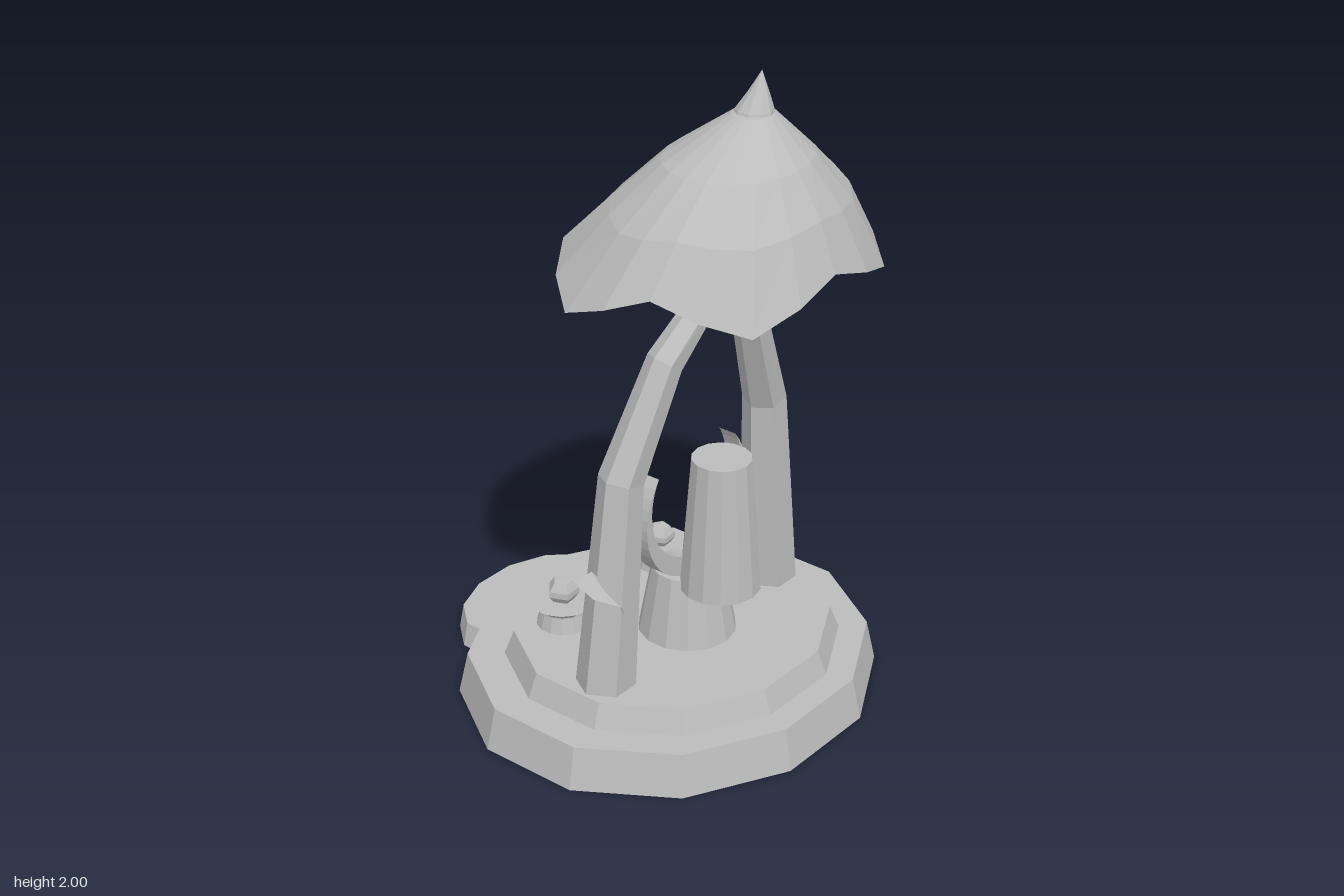
import * as THREE from 'three';

const stone = new THREE.MeshStandardMaterial({ color: 0xbcbcbc, flatShading: true, side: THREE.DoubleSide });
stone.name = 'grey stone';

const V = (x, y, z) => new THREE.Vector3(x, y, z);

function add(parent, name, geometry) {
  const mesh = new THREE.Mesh(geometry, stone);
  mesh.name = name;
  parent.add(mesh);
  return mesh;
}

function fromTriangles(points) {
  const g = new THREE.BufferGeometry().setFromPoints(points);
  g.computeVertexNormals();
  return g;
}

// Skin closed rings from bottom to top, with a fan to a point at each end
function loft(rings, bottom, top) {
  const n = rings[0].length, tris = [], last = rings[rings.length - 1];
  for (let j = 0; j < n; j++) {
    const k = (j + 1) % n;
    for (let i = 0; i < rings.length - 1; i++) {
      tris.push(rings[i][j], rings[i][k], rings[i + 1][k]);
      tris.push(rings[i][j], rings[i + 1][k], rings[i + 1][j]);
    }
    tris.push(bottom, rings[0][k], rings[0][j]);
    tris.push(top, last[j], last[k]);
  }
  return fromTriangles(tris);
}

const lathe = (pts, sides) => new THREE.LatheGeometry(pts.map(p => new THREE.Vector2(...p)), sides);

// Tapered twelve-sided oval slab, hollow underneath
function slab(rTop, rBottom, zScale, y0, y1, z) {
  return lathe([[rBottom, y0], [rTop, y1], [0, y1]], 12)
    .rotateY(Math.PI / 12).scale(1, 1, zScale).translate(0, 0, z);
}

// Six-sided leg that tapers and bends in to the middle
function leg(side) {
  const path = [[0.394, 0.18, 0.148], [0.335, 0.86, 0.163], [0.195, 1.19, 0.207], [0, 1.4, 0.25]]
    .map(([x, y, z]) => V(side * x, y, z));
  const radii = [0.09, 0.067, 0.054, 0.04];
  const rings = path.map((p, i) => {
    const t = i === 3 ? V(-side, 0, 0)
      : i === 0 ? V(0, 1, 0)
      : path[i + 1].clone().sub(p).normalize().add(p.clone().sub(path[i - 1]).normalize()).normalize();
    const u = t.clone().cross(V(0, 0, 1)).normalize();
    const w = u.clone().cross(t);
    return Array.from({ length: 6 }, (_, k) => {
      const a = (k + 0.5) * Math.PI / 3;
      return p.clone().addScaledVector(u, radii[i] * Math.sin(a)).addScaledVector(w, radii[i] * Math.cos(a));
    });
  });
  return loft(rings, path[0], path[3]);
}

// Five-lobed canopy, leaning toward its tip
function canopy() {
  const levels = [ // y, centre x, centre z, radius x, radius z, lobe strength
    [1.465, 0.002, 0.235, 0.494, 0.422, 1],
    [1.64, 0.005, 0.277, 0.378, 0.308, 0.25],
    [1.77, 0.012, 0.297, 0.235, 0.2, 0],
    [1.885, 0.052, 0.315, 0.066, 0.06, 0],
  ];
  const n = 20;
  const rings = levels.map(([y, cx, cz, rx, rz, lobe]) => Array.from({ length: n }, (_, k) => {
    const a = k / n * Math.PI * 2;
    const wave = -Math.cos(5 * a) * lobe; // +1 on a drooping lobe, -1 in a notch
    const r = 1 + 0.045 * wave;
    return V(cx + rx * r * Math.sin(a), y - 0.048 * wave, cz + rz * r * Math.cos(a));
  }));
  return loft(rings, V(0, 1.435, 0.245), V(0.055, 1.9, 0.315));
}

// Pointed bud rising out of the canopy
function bud() {
  const rings = [[1.87, 0.052, 0.314, 0.062], [1.895, 0.056, 0.315, 0.054], [1.94, 0.068, 0.318, 0.03]]
    .map(([y, cx, cz, r]) => Array.from({ length: 10 }, (_, k) => {
      const a = k / 10 * Math.PI * 2;
      return V(cx + r * Math.sin(a), y, cz + r * Math.cos(a));
    }));
  return loft(rings, V(0.052, 1.87, 0.314), V(0.08, 2, 0.32));
}

// Crescent with both horns pointing up
function crescent() {
  const shape = new THREE.Shape();
  const outer = Math.atan2(0.15, 0.18), inner = Math.atan2(0.11, 0.18);
  shape.absarc(0, 0.65, 0.234, outer, Math.PI - outer, true);
  shape.absarc(0, 0.69, 0.211, Math.PI - inner, inner, false);
  return new THREE.ExtrudeGeometry(shape, { depth: 0.06, bevelEnabled: false, curveSegments: 16 })
    .translate(0, -0.003, 0.115);
}

// Folded leaf: a raised back half and a drooping front half along one ridge
function leaf() {
  const stem = V(-0.385, 0.472, 0.2);
  const ridge = [stem, V(-0.43, 0.55, 0.215), V(-0.48, 0.585, 0.22), V(-0.54, 0.588, 0.23)];
  const back = [stem, V(-0.39, 0.535, 0.16), V(-0.44, 0.598, 0.14), V(-0.52, 0.604, 0.145)];
  const front = [stem, V(-0.45, 0.51, 0.27), V(-0.487, 0.56, 0.288), ridge[3]];
  const tris = [];
  for (let i = 0; i < 3; i++) {
    tris.push(ridge[i], ridge[i + 1], back[i + 1], ridge[i], back[i + 1], back[i]);
    tris.push(ridge[i], front[i + 1], ridge[i + 1], ridge[i], front[i], front[i + 1]);
  }
  return fromTriangles(tris);
}

export function createModel() {
  const model = new THREE.Group();
  model.name = 'canopyShrine';

  // Stepped base
  add(model, 'lowerBase', slab(0.645, 0.675, 0.912, 0, 0.13, 0.07));
  add(model, 'upperBase', slab(0.507, 0.538, 0.915, 0.13, 0.205, 0.085));
  add(model, 'backStep', slab(0.279, 0.295, 0.67, 0, 0.075, -0.475));

  // Pedestal, forward column and crescent
  add(model, 'pedestal', new THREE.CylinderGeometry(0.11, 0.15, 0.22, 14).translate(0, 0.312, 0.14));
  add(model, 'column', new THREE.CylinderGeometry(0.09, 0.122, 0.43, 14).translate(0, 0.61, 0.263));
  add(model, 'crescent', crescent());

  // Arched legs and canopy
  add(model, 'leftLeg', leg(1));
  add(model, 'rightLeg', leg(-1));
  add(model, 'canopy', canopy());
  add(model, 'canopyBud', bud());
  add(model, 'leaf', leaf());

  // Small dishes, each with a faceted gem
  for (const [name, x, z, s] of [['rightDish', -0.223, -0.163, 1], ['leftDish', 0.231, -0.153, 0.92]]) {
    const dish = new THREE.Group();
    dish.name = name;
    add(dish, 'dish', lathe([[0.082, 0], [0.07, 0.05], [0.07, 0.055], [0.107, 0.083], [0, 0.083]], 14));
    add(dish, 'gem', lathe([[0, 0.078], [0.035, 0.083], [0.05, 0.103], [0.049, 0.122], [0.03, 0.149], [0, 0.151]], 5))
      .rotation.y = Math.PI + 0.1;
    dish.position.set(x, 0.203, z);
    dish.scale.setScalar(s);
    model.add(dish);
  }
  return model;
}
